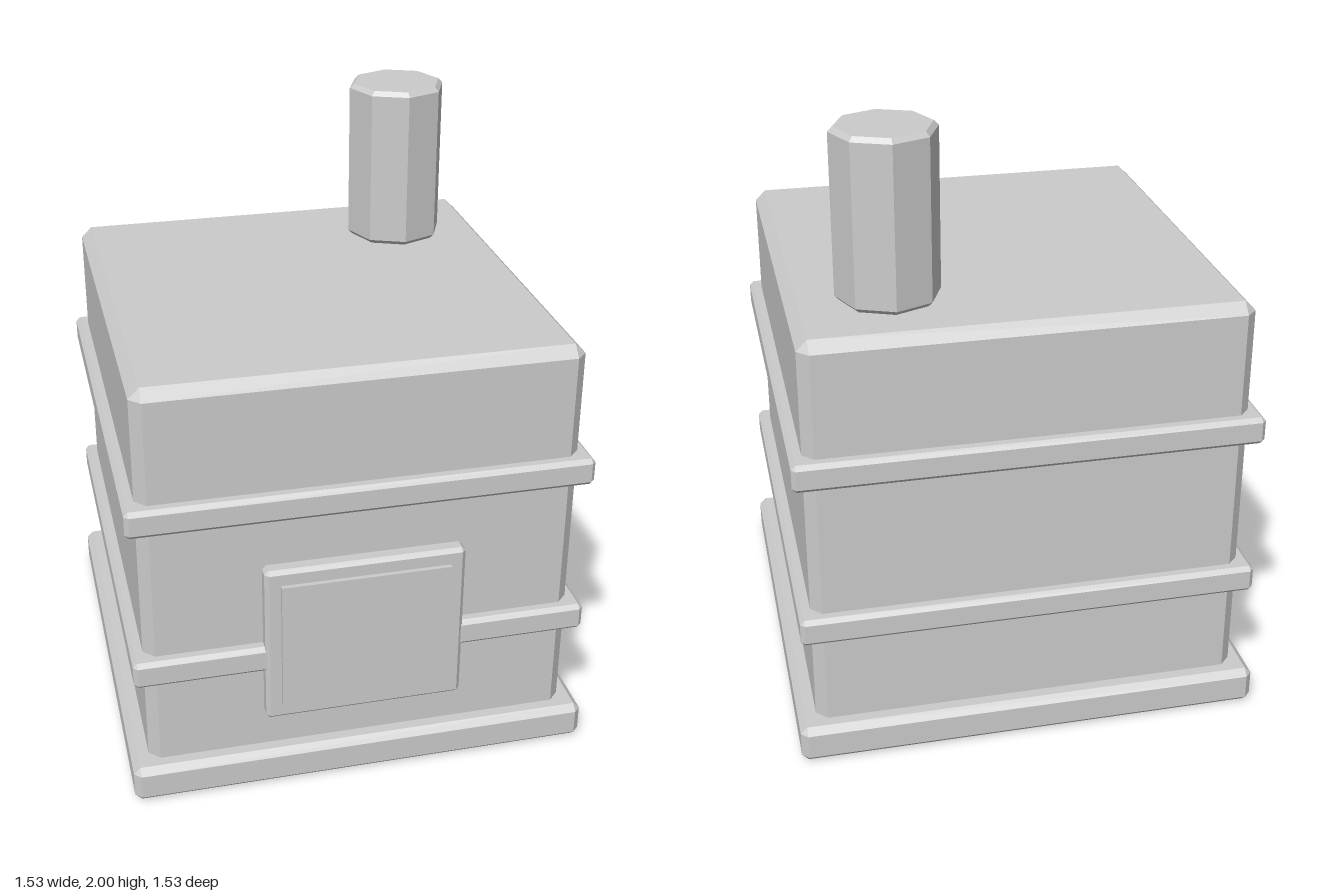
import * as THREE from 'three';
import { ConvexGeometry } from 'three/addons/geometries/ConvexGeometry.js';

// Box with flat chamfers of width c on every edge, resting on local y = 0
function chamferBox(w, h, d, c) {
  const points = [];
  for (const sx of [-1, 1]) for (const sy of [-1, 1]) for (const sz of [-1, 1])
    for (let axis = 0; axis < 3; axis++) {
      const inset = [c, c, c];
      inset[axis] = 0;
      points.push(new THREE.Vector3(
        sx * (w / 2 - inset[0]),
        h / 2 + sy * (h / 2 - inset[1]),
        sz * (d / 2 - inset[2])));
    }
  return new ConvexGeometry(points);
}

export function createModel() {
  const model = new THREE.Group();
  model.name = 'stove';
  const material = new THREE.MeshStandardMaterial({ color: 0xcccccc, flatShading: true });

  const add = (name, geometry, x, y, z) => {
    const mesh = new THREE.Mesh(geometry, material);
    mesh.name = name;
    mesh.position.set(x, y, z);
    model.add(mesh);
  };

  // Plinth and main body
  add('base', chamferBox(1.526, 0.127, 1.524, 0.022), 0, 0, 0);
  add('body', chamferBox(1.41, 1.393, 1.41, 0.035), 0, 0.06, 0);

  // Bands wrapping the body
  add('lowerBand', chamferBox(1.488, 0.092, 1.488, 0.014), 0, 0.437, 0);
  add('upperBand', chamferBox(1.488, 0.092, 1.488, 0.014), 0, 0.985, 0);

  // Front door with a thin raised panel
  add('doorFrame', chamferBox(0.65, 0.56, 0.12, 0.013), 0, 0.256, 0.693);
  add('doorPanel', new THREE.BoxGeometry(0.55, 0.452, 0.04), 0, 0.538, 0.748);

  // Octagonal chimney with chamfered rims, at the back left corner
  const r = 0.166, c = 0.015, h = 0.547;
  const profile = [[0, 0], [r - c, 0], [r, c], [r, h - c], [r - c, h], [0, h]]
    .map(([x, y]) => new THREE.Vector2(x, y));
  add('chimney', new THREE.LatheGeometry(profile, 8), 0.389, 1.453, -0.398);

  return model;
}
